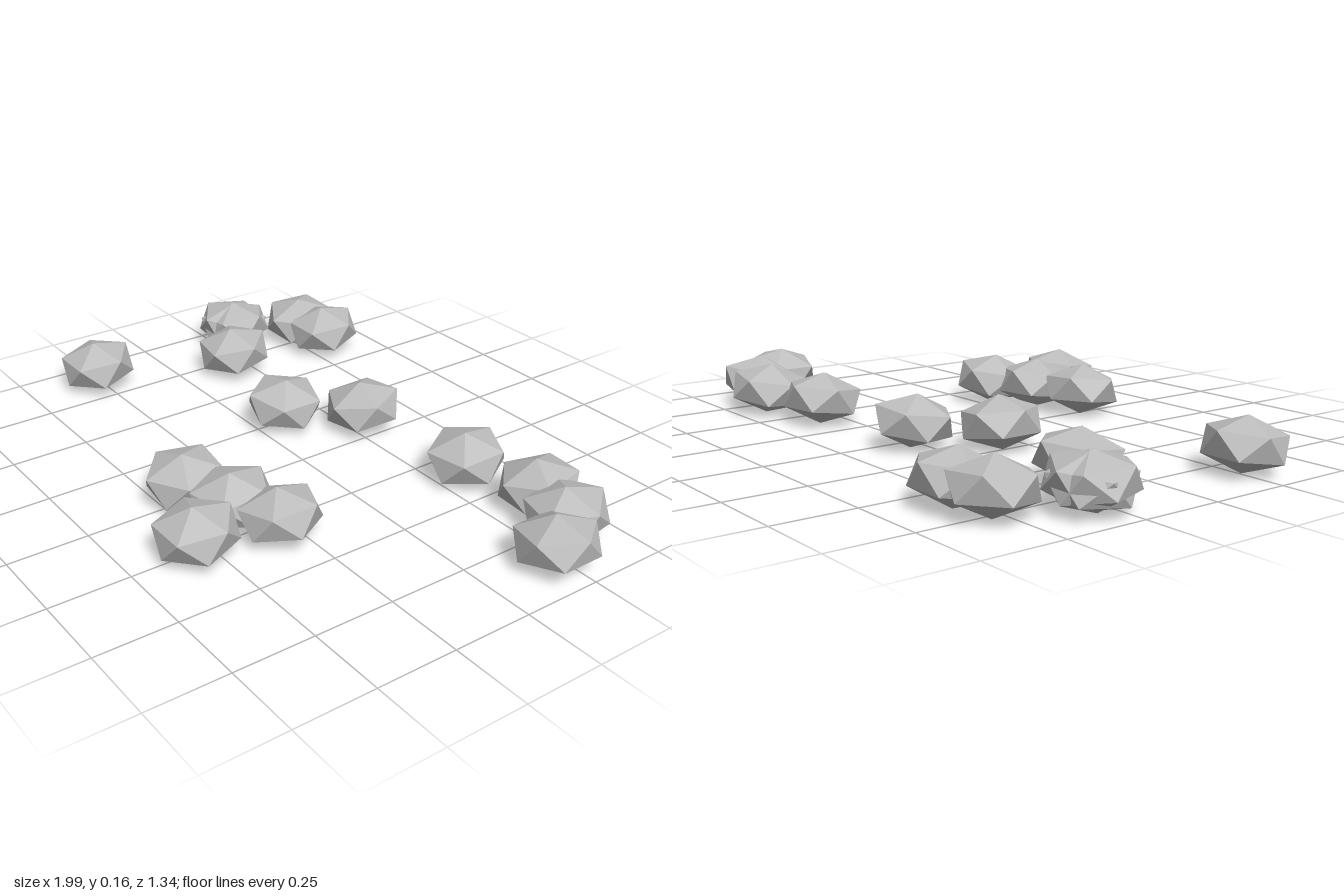
import * as THREE from 'three';

// One flattened, slightly tilted twenty-sided stone
function makeStoneGeometry() {
  const geo = new THREE.IcosahedronGeometry(0.134, 0);
  geo.rotateZ(-Math.atan(2 / (1 + Math.sqrt(5)))); // corner pointing up
  geo.scale(1, 0.61, 1);
  geo.rotateZ(0.14);
  geo.computeBoundingBox();
  geo.translate(0, -geo.boundingBox.min.y, 0);
  geo.computeVertexNormals();
  return geo;
}

// Clusters of stones: [x, z, yaw in degrees]
const clusters = {
  rightBackStones: [
    [-0.644, -0.556, 90], [-0.767, -0.535, 130],
    [-0.87, -0.315, 20], [-0.88, -0.312, 200],
    [-0.676, -0.183, 80],
  ],
  rightFrontStone: [[-0.85, 0.267, 90]],
  middleStones: [[-0.068, -0.288, 60], [-0.235, -0.095, 180]],
  leftBackStones: [
    [0.382, -0.335, 100], [0.63, -0.393, 45],
    [0.786, -0.348, 75], [0.88, -0.215, 0],
  ],
  frontStones: [
    [-0.005, 0.424, 120], [0.17, 0.37, 100],
    [0.323, 0.31, 30], [0.268, 0.552, 90],
  ],
};

export function createModel() {
  const model = new THREE.Group();
  model.name = 'scatteredStones';
  const stoneGrey = new THREE.MeshStandardMaterial({ color: 0xbcbcbc, flatShading: true });
  stoneGrey.name = 'stone grey';
  const geo = makeStoneGeometry();

  for (const [name, stones] of Object.entries(clusters)) {
    const group = new THREE.Group();
    group.name = name;
    for (const [x, z, yaw] of stones) {
      const stone = new THREE.Mesh(geo, stoneGrey);
      stone.name = 'stone';
      stone.position.set(x, 0, z);
      stone.rotation.y = THREE.MathUtils.degToRad(yaw);
      group.add(stone);
    }
    model.add(group);
  }
  return model;
}
